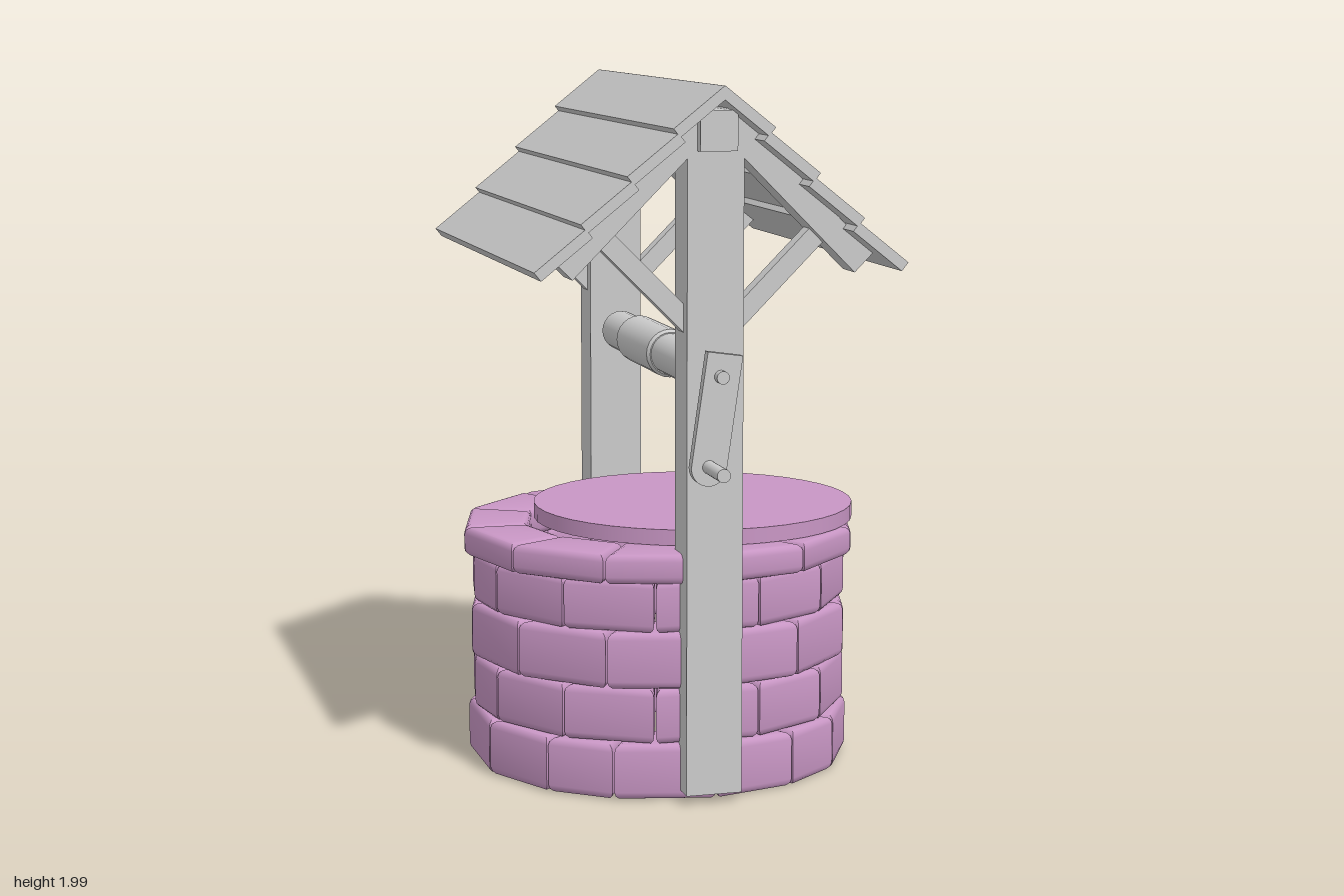
import * as THREE from 'three';
import { toCreasedNormals } from 'three/addons/utils/BufferGeometryUtils.js';

const CX = -0.01, CZ = -0.055; // centre of the well
const wood = new THREE.MeshStandardMaterial({ color: 0xcccccc });
const stone = new THREE.MeshStandardMaterial({ color: 0xc896c4 });

export function createModel() {
  const model = new THREE.Group();

  const add = (name, geometry, material, x = 0, y = 0, z = 0, tilt = 0) => {
    const mesh = new THREE.Mesh(geometry, material);
    mesh.name = name;
    mesh.position.set(x, y, z);
    mesh.rotation.z = tilt;
    model.add(mesh);
    return mesh;
  };

  // Cylinder along z between two z values
  const rod = (name, r, z0, z1, x, y) =>
    add(name, new THREE.CylinderGeometry(r, r, z1 - z0, 24).rotateX(Math.PI / 2), wood, x, y, (z0 + z1) / 2);

  // Wedge-shaped stone with rounded edges, between two angles (0 = front, 90 = +x)
  const stoneGeometry = (a0, a1, rIn, rOut, height) => {
    const bevel = 0.022, gap = 0.3;
    const at = (deg, r) => {
      const t = THREE.MathUtils.degToRad(deg);
      return new THREE.Vector2(Math.sin(t) * r, -Math.cos(t) * r);
    };
    const angles = a1 - a0 > 35 ? [a0 + gap, (a0 + a1) / 2, a1 - gap] : [a0 + gap, a1 - gap];
    const outline = [...angles.map(a => at(a, rOut)), ...angles.reverse().map(a => at(a, rIn))];
    const geo = new THREE.ExtrudeGeometry(new THREE.Shape(outline), {
      depth: height - 2 * bevel, bevelEnabled: true, bevelThickness: bevel,
      bevelSize: bevel, bevelOffset: -bevel, bevelSegments: 3,
    });
    geo.rotateX(-Math.PI / 2).translate(0, bevel, 0);
    return toCreasedNormals(geo, 0.6);
  };

  // Courses of stone, each with its joint angles
  const even = Array.from({ length: 12 }, (_, i) => i * 30);
  const mixed = [16, 43, 70, 111, 138, 165, 196, 223, 250, 288, 316, 344];
  const base = [2, 28, 50, 76, 105, 133, 156, 182, 208, 233, 256, 285, 311, 332];
  const courses = [
    { y: 0.003, h: 0.16, r: 0.56, joints: base },
    { y: 0.163, h: 0.158, r: 0.55, joints: mixed },
    { y: 0.32, h: 0.162, r: 0.56, joints: even },
    { y: 0.48, h: 0.15, r: 0.55, joints: mixed },
    { y: 0.622, h: 0.086, r: 0.58, joints: even },
  ];
  courses.forEach(({ y, h, r, joints }, row) => {
    const course = new THREE.Group();
    course.name = row === 4 ? 'capStones' : 'stoneCourse';
    course.position.set(CX, y, CZ);
    joints.forEach((a, i) => {
      const b = i + 1 < joints.length ? joints[i + 1] : joints[0] + 360;
      const mesh = new THREE.Mesh(stoneGeometry(a, b, 0.39, r, h), stone);
      mesh.name = 'stone';
      course.add(mesh);
    });
    model.add(course);
  });

  // Lid pushed to one side
  add('lid', new THREE.CylinderGeometry(0.47, 0.47, 0.045, 40), stone, 0.097, 0.732, -0.05);

  // Posts with rafters and braces on both sides
  for (const z of [0.482, -0.598]) {
    add('post', new THREE.BoxGeometry(0.16, 1.88, 0.122), wood, CX, 0.97, z);
    for (const s of [1, -1]) {
      const slope = -s * Math.PI / 4;
      add('rafter', new THREE.BoxGeometry(0.58, 0.075, 0.1), wood, CX + s * 0.22, 1.712, z + 0.01 * Math.sign(z), slope);
      add('brace', new THREE.BoxGeometry(0.36, 0.055, 0.05), wood, CX + s * 0.18, 1.465, z, -slope);
    }
  }
  add('ridgeBeam', new THREE.BoxGeometry(0.105, 0.11, 1.26), wood, CX, 1.875, CZ);

  // Overlapping roof boards: lower top edge on the rafter line, each at a flatter tilt
  const tilt = 0.67, thick = 0.03, length = 0.18;
  for (const s of [1, -1]) {
    for (let i = 0; i < 4; i++) {
      const x = 0.142 + 0.127 * i, y = 1.885 - 0.124 * i;
      const mx = x - Math.cos(tilt) * length / 2 - Math.sin(tilt) * thick / 2;
      const my = y + Math.sin(tilt) * length / 2 - Math.cos(tilt) * thick / 2;
      add('roofBoard', new THREE.BoxGeometry(length, thick, 1.365), wood, CX + s * mx, my, CZ, -s * tilt);
    }
  }

  // Winding axle, drum and rope coil
  rod('axle', 0.018, -0.7, 0.63, -0.013, 1.215);
  rod('drum', 0.059, -0.46, 0.355, -0.013, 1.213);
  const coil = [[0, 0], [0.062, 0], [0.07, 0.01], [0.07, 0.35], [0.062, 0.36], [0, 0.36]];
  const coilGeo = new THREE.LatheGeometry(coil.map(p => new THREE.Vector2(...p)), 24);
  coilGeo.rotateX(Math.PI / 2);
  add('ropeCoil', toCreasedNormals(coilGeo, 0.6), wood, -0.013, 1.213, -0.255);

  // Crank arm with a round lower end, and its handle
  const arm = new THREE.Shape();
  arm.moveTo(0.05, 0.315);
  arm.lineTo(-0.05, 0.315);
  arm.lineTo(-0.05, 0);
  arm.absarc(0, 0, 0.05, Math.PI, 2 * Math.PI);
  arm.closePath();
  add('crankArm', new THREE.ExtrudeGeometry(arm, { depth: 0.028, bevelEnabled: false }), wood, -0.045, 0.965, 0.577, -0.145);
  rod('crankHandle', 0.019, 0.58, 0.745, -0.045, 0.968);

  return model;
}
